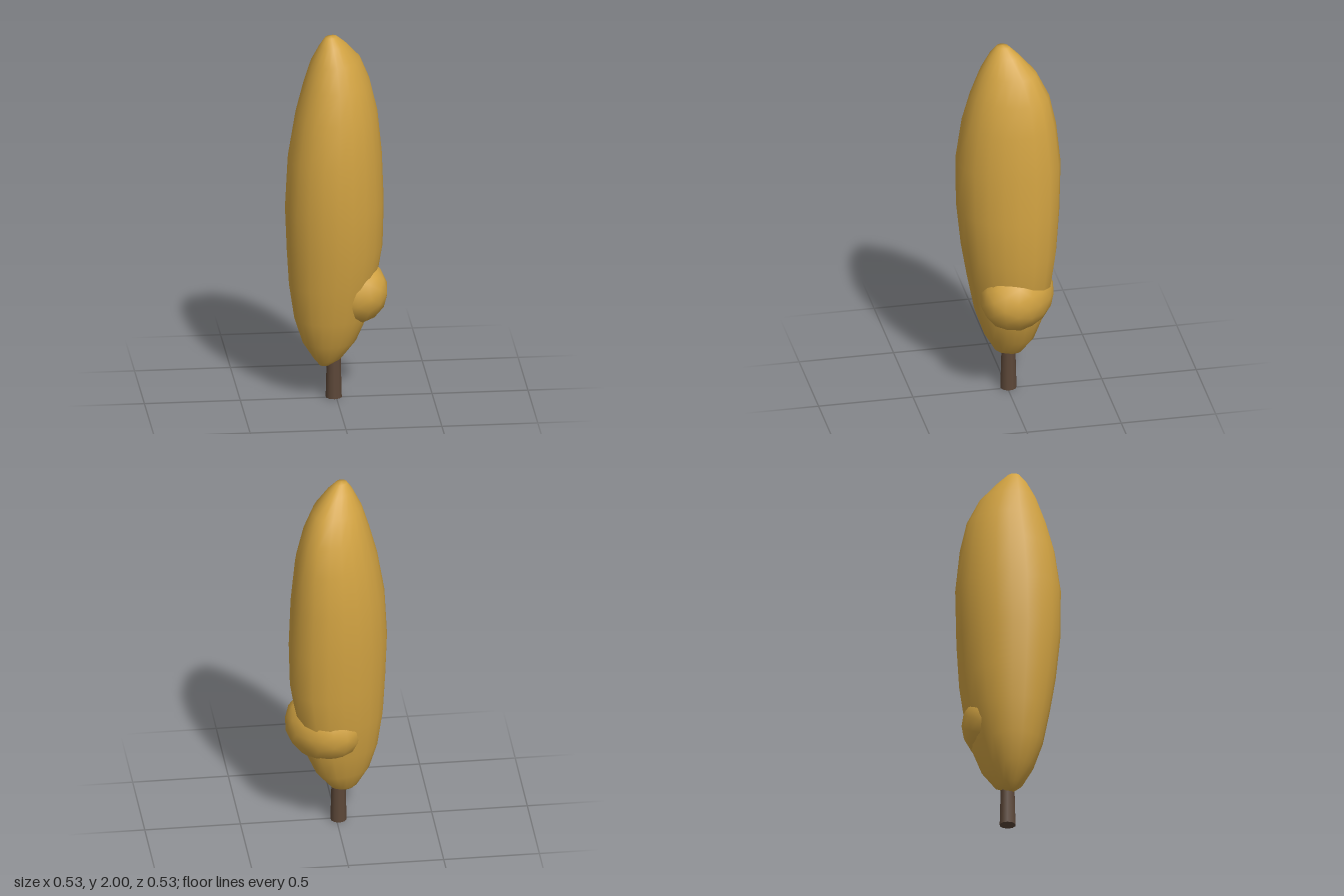
import * as THREE from 'three';

// Crown cross-sections from base to tip: y, xMin, xMax, zMin, zMax
const SECTIONS = [
  [0.18, -0.085, -0.03, -0.02, 0.02],
  [0.215, -0.115, 0.025, -0.07, 0.06],
  [0.31, -0.175, 0.10, -0.12, 0.115],
  [0.45, -0.22, 0.163, -0.168, 0.164],
  [0.64, -0.248, 0.205, -0.208, 0.202],
  [0.83, -0.26, 0.237, -0.233, 0.235],
  [1.07, -0.27, 0.243, -0.25, 0.26],
  [1.34, -0.256, 0.233, -0.257, 0.264],
  [1.57, -0.217, 0.21, -0.232, 0.234],
  [1.73, -0.175, 0.172, -0.197, 0.192],
  [1.86, -0.135, 0.117, -0.132, 0.142],
  [1.95, -0.09, 0.045, -0.055, 0.09],
  [1.995, -0.06, 0.0, -0.01, 0.05],
];

// Closed smooth loft through skewed elliptical rings that bulge towards the left-back
function loft(sections, sides) {
  const pos = [], index = [], n = sections.length, skew = 0.09;
  for (const [y, x0, x1, z0, z1] of sections) {
    const rx = (x1 - x0) / 2, rz = (z1 - z0) / 2;
    for (let i = 0; i < sides; i++) {
      const a = (i / sides) * Math.PI * 2;
      const bulge = Math.min(0.028, rx * 0.25) * Math.max(0, Math.cos(a + Math.PI / 4)) ** 4;
      pos.push((x0 + x1) / 2 + Math.cos(a) * (rx + bulge), y,
        (z0 + z1) / 2 + Math.sin(a - skew) * (rz + bulge));
    }
  }
  for (let r = 0; r < n - 1; r++) {
    for (let i = 0; i < sides; i++) {
      const j = (i + 1) % sides;
      const a = r * sides + i, b = r * sides + j, c = a + sides, d = b + sides;
      index.push(a, c, b, b, c, d);
    }
  }
  // end caps
  const first = sections[0], last = sections[n - 1], base = n * sides;
  pos.push((first[1] + first[2]) / 2, first[0], (first[3] + first[4]) / 2);
  pos.push((last[1] + last[2]) / 2, 2, (last[3] + last[4]) / 2);
  for (let i = 0; i < sides; i++) {
    const j = (i + 1) % sides, top = (n - 1) * sides;
    index.push(base, i, j, base + 1, top + j, top + i);
  }
  const geo = new THREE.BufferGeometry();
  geo.setAttribute('position', new THREE.Float32BufferAttribute(pos, 3));
  geo.setIndex(index);
  geo.computeVertexNormals();
  return geo;
}

export function createModel() {
  const gold = new THREE.MeshStandardMaterial({ name: 'golden foliage', color: 0xd2a342 });
  const bark = new THREE.MeshStandardMaterial({ name: 'brown bark', color: 0x5c4738 });
  const tree = new THREE.Group();
  tree.name = 'columnTree';
  const add = (name, geo, mat, x, y, z) => {
    const mesh = new THREE.Mesh(geo, mat);
    mesh.name = name;
    mesh.position.set(x, y, z);
    tree.add(mesh);
    return mesh;
  };

  // Tall narrow crown
  add('crown', loft(SECTIONS, 20), gold, 0, 0, 0);

  // Small leaf clump on the lower left-back side, wide across the crown and shallow outwards
  const clump = new THREE.IcosahedronGeometry(1, 2);
  clump.scale(0.18, 0.19, 0.22);
  clump.rotateY(Math.PI / 4);
  add('leafClump', clump, gold, 0.068, 0.585, -0.036);

  // Trunk, tapering upwards into the crown
  add('trunk', new THREE.CylinderGeometry(0.035, 0.043, 0.3, 10), bark, -0.012, 0.15, -0.008);

  return tree;
}
